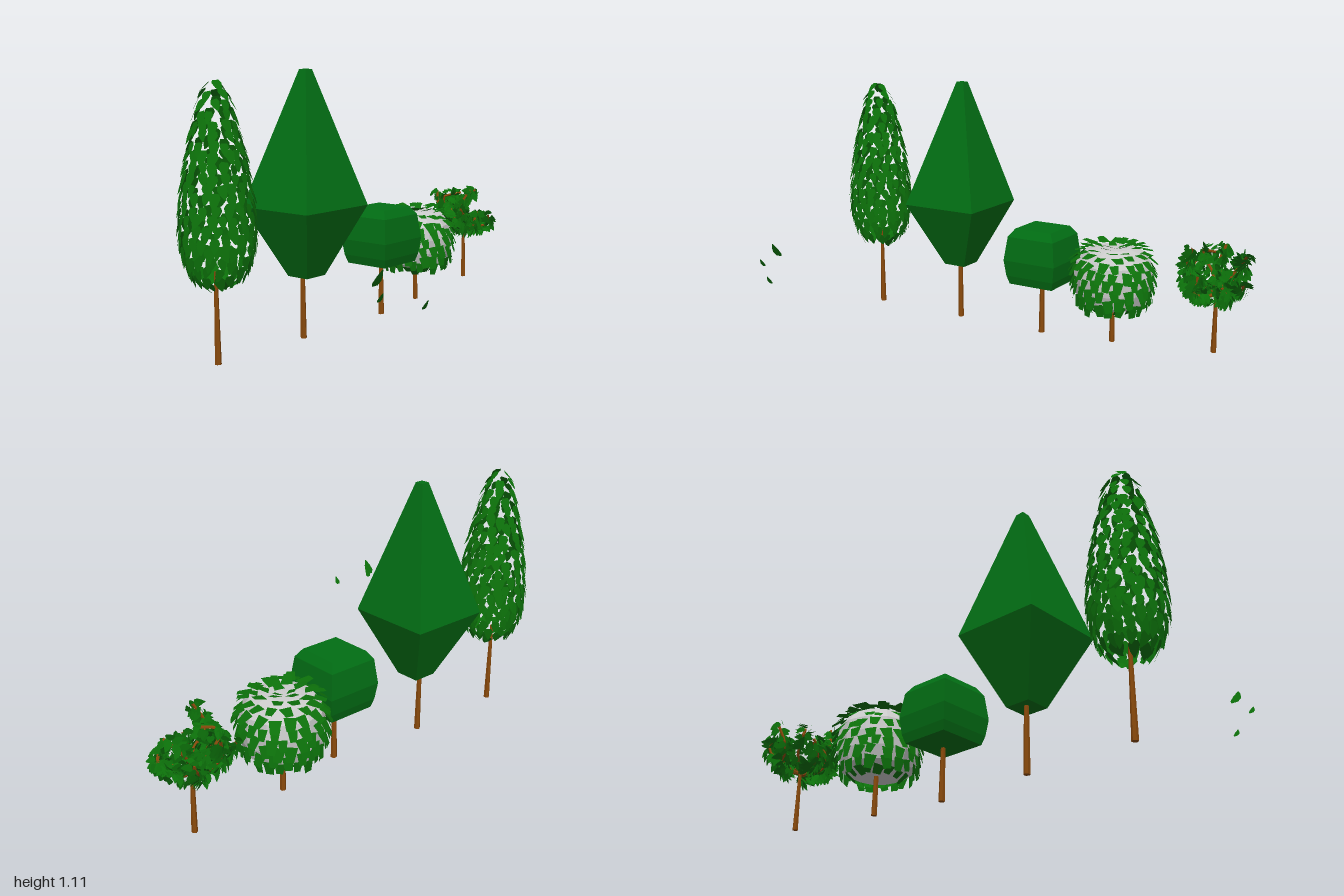
import * as THREE from 'three';
import { mergeGeometries } from 'three/addons/utils/BufferGeometryUtils.js';

const V = (x, y, z) => new THREE.Vector3(x, y, z);
const mat = (color, side = THREE.FrontSide) => new THREE.MeshStandardMaterial({ color, side, flatShading: true });
const GREEN = 0x026e14, LEAF = 0x0c700a, BARK = 0x8a4a0c;

let seed = 7;
const rnd = () => (seed = (seed * 16807) % 2147483647) / 2147483647;
const jitter = (a) => (rnd() - 0.5) * 2 * a;

function add(parent, name, geometry, material) {
  const mesh = new THREE.Mesh(geometry, material);
  mesh.name = name;
  parent.add(mesh);
  return mesh;
}

// Revolved profile, listed from bottom to top as [radius, y]
const lathe = (profile, sides, phase = 0) =>
  new THREE.LatheGeometry(profile.map(([r, y]) => new THREE.Vector2(r, y)), sides, phase);

// Square crown: radii are half-widths
const squareCrown = (profile) => lathe(profile.map(([r, y]) => [r * Math.SQRT2, y]), 4, Math.PI / 4);

function trunk(parent, x, z, y0, y1, r0, r1) {
  const g = new THREE.CylinderGeometry(r1, r0, y1 - y0, 6);
  add(parent, 'trunk', g, mat(BARK)).position.set(x, (y0 + y1) / 2, z);
}

// Flat leaf hanging down from its origin, facing +z; points are right-hand half outline
function leafShape(half) {
  const s = new THREE.Shape();
  const pts = [...half, ...half.map(([x, y]) => [-x, y]).reverse()];
  pts.forEach(([x, y], i) => (i ? s.lineTo(x, y) : s.moveTo(x, y)));
  return new THREE.ShapeGeometry(s);
}
const pointedLeaf = leafShape([[0.012, 0], [0.019, -0.014], [0.013, -0.036], [0.002, -0.056]]);
const bluntLeaf = leafShape([[0.022, 0], [0.014, -0.05]]);

// Copy of a leaf pointing along "down" and facing "normal"
function placeLeaf(leaf, pos, down, normal, scale = 1) {
  const y = down.clone().normalize().negate();
  const x = y.clone().cross(normal).normalize();
  const z = x.clone().cross(y);
  const m = new THREE.Matrix4().makeBasis(x, y, z).scale(V(scale, scale, scale)).setPosition(pos);
  return leaf.clone().applyMatrix4(m);
}

// Rings of leaves covering a revolved profile (bottom to top)
function shellLeaves(leaf, profile, rows, spacing, tilt, wobble) {
  const curve = new THREE.CatmullRomCurve3(profile.map(([r, y]) => V(r, y, 0)).reverse());
  const out = [];
  for (let i = 0; i < rows; i++) {
    const u = (i + 0.3) / rows;
    const p = curve.getPointAt(u), t = curve.getTangentAt(u);
    const n = V(-t.y, t.x, 0);
    const down = t.clone().multiplyScalar(Math.cos(tilt)).addScaledVector(n, Math.sin(tilt));
    const face = n.clone().multiplyScalar(Math.cos(tilt)).addScaledVector(t, -Math.sin(tilt));
    const count = Math.max(3, Math.round((Math.PI * 2 * p.x) / spacing));
    for (let k = 0; k < count; k++) {
      const a = ((k + (i % 2) / 2 + jitter(0.2)) / count) * Math.PI * 2;
      const spin = (v) => v.clone().applyAxisAngle(V(0, 1, 0), a);
      const d = spin(down).applyAxisAngle(spin(face), jitter(wobble));
      out.push(placeLeaf(leaf, spin(p).setY(p.y + jitter(0.008)), d, spin(face), 0.85 + rnd() * 0.3));
    }
  }
  return mergeGeometries(out);
}

function tree(parent, name) {
  const g = new THREE.Group();
  g.name = name;
  parent.add(g);
  return g;
}

export function createModel() {
  seed = 7;
  const model = new THREE.Group();
  model.name = 'treeRow';

  // Tall tree: an open shell of leaves
  const tall = tree(model, 'tallLeafyTree');
  trunk(tall, -0.855, -0.335, 0, 0.36, 0.013, 0.007);
  const tallProfile = [[0.06, 0.32], [0.105, 0.36], [0.135, 0.44], [0.141, 0.55], [0.118, 0.75],
    [0.085, 0.9], [0.052, 1.02], [0.01, 1.085]];
  add(tall, 'leaves', shellLeaves(pointedLeaf, tallProfile, 21, 0.045, 0.15, 0.4), mat(LEAF, THREE.DoubleSide))
    .position.set(-0.848, 0, -0.325);

  // Diamond tree: square faceted crown with its top slightly off centre
  const diamond = tree(model, 'diamondTree');
  trunk(diamond, -0.39, -0.335, 0, 0.3, 0.013, 0.009);
  const crown = squareCrown([[0, 0.265], [0.053, 0.265], [0.18, 0.555], [0.018, 1.11], [0, 1.11]]);
  const cp = crown.attributes.position;
  for (let i = 0; i < cp.count; i++) if (cp.getY(i) > 1) cp.setX(i, cp.getX(i) + 0.013);
  add(diamond, 'crown', crown, mat(GREEN)).position.set(-0.38, 0, -0.322);

  // Boxy tree: rounded cube crown
  const boxy = tree(model, 'boxTree');
  trunk(boxy, 0.07, -0.3, 0.015, 0.26, 0.013, 0.009);
  add(boxy, 'crown', squareCrown([[0, 0.235], [0.02, 0.235], [0.105, 0.252], [0.116, 0.29], [0.125, 0.36],
    [0.112, 0.465], [0.088, 0.5], [0, 0.5]]), mat(GREEN)).position.set(0.072, 0, -0.297);

  // Round bush: grey core with shingled leaves
  const bush = tree(model, 'roundBush');
  trunk(bush, 0.39, -0.358, 0.015, 0.22, 0.012, 0.009);
  const core = [[0, 0.18], [0.1, 0.18], [0.147, 0.205], [0.166, 0.26], [0.17, 0.32], [0.16, 0.38],
    [0.127, 0.425], [0.075, 0.441], [0, 0.443]];
  add(bush, 'core', lathe(core, 12), mat(0xcccccc)).position.set(0.39, 0, -0.355);
  add(bush, 'leaves', shellLeaves(bluntLeaf, core.slice(1), 11, 0.053, 0.36, 0.3), mat(LEAF, THREE.DoubleSide))
    .position.set(0.39, 0.003, -0.355);

  // Small gnarled tree: curling branches wrapped in leaves
  const gnarled = tree(model, 'gnarledTree');
  trunk(gnarled, 0.84, -0.4, 0.04, 0.3, 0.012, 0.007);
  const fork = V(0.84, 0.29, -0.4);
  const branches = [
    [V(0.86, 0.31, -0.47), V(0.8, 0.38, -0.52), V(0.82, 0.47, -0.55)],
    [V(0.8, 0.34, -0.35), V(0.73, 0.41, -0.34), V(0.765, 0.5, -0.31)],
    [V(0.77, 0.31, -0.4), V(0.7, 0.33, -0.42), V(0.685, 0.38, -0.46)],
    [V(0.9, 0.31, -0.43), V(0.95, 0.33, -0.4), V(0.96, 0.36, -0.37)],
    [V(0.88, 0.36, -0.45), V(0.92, 0.42, -0.46), V(0.96, 0.47, -0.41)],
    [V(0.87, 0.3, -0.34), V(0.92, 0.31, -0.31), V(0.9, 0.36, -0.29)],
    [V(0.8, 0.37, -0.45), V(0.75, 0.45, -0.46), V(0.83, 0.47, -0.41)],
    [V(0.82, 0.3, -0.33), V(0.78, 0.31, -0.3), V(0.8, 0.39, -0.29)],
    [V(0.87, 0.33, -0.49), V(0.91, 0.39, -0.52), V(0.88, 0.43, -0.52)],
    [V(0.77, 0.3, -0.35), V(0.72, 0.35, -0.36), V(0.74, 0.42, -0.42)],
  ];
  const wood = [], foliage = [];
  for (const pts of branches) {
    const curve = new THREE.CatmullRomCurve3([fork, ...pts]);
    wood.push(new THREE.TubeGeometry(curve, 10, 0.006, 5));
    for (let i = 0; i < 72; i++) {
      const u = 0.15 + (0.85 * i) / 71;
      const t = curve.getTangentAt(u);
      const side = V(jitter(1), jitter(1), jitter(1)).cross(t).normalize();
      const down = side.clone().cross(t).add(V(0, -0.5, 0)).addScaledVector(side, 0.2);
      foliage.push(placeLeaf(pointedLeaf, curve.getPointAt(u).addScaledVector(side, 0.008 + rnd() * 0.016),
        down, side, 0.55 + rnd() * 0.25));
    }
  }
  add(gnarled, 'branches', mergeGeometries(wood), mat(BARK));
  add(gnarled, 'leaves', mergeGeometries(foliage), mat(LEAF, THREE.DoubleSide));

  // Loose leaves drifting in front, tips pointing up
  const loose = [[-0.82, 0.405, 0.42, 1.25], [-0.86, 0.365, 0.47, 0.7], [-0.735, 0.33, 0.56, 0.7]].map(
    ([x, y, z, s]) => placeLeaf(pointedLeaf, V(x, y, z), V(0, 0.86, 0.5), V(0, 0.5, -0.86), s));
  add(model, 'looseLeaves', mergeGeometries(loose), mat(LEAF, THREE.DoubleSide));

  return model;
}
